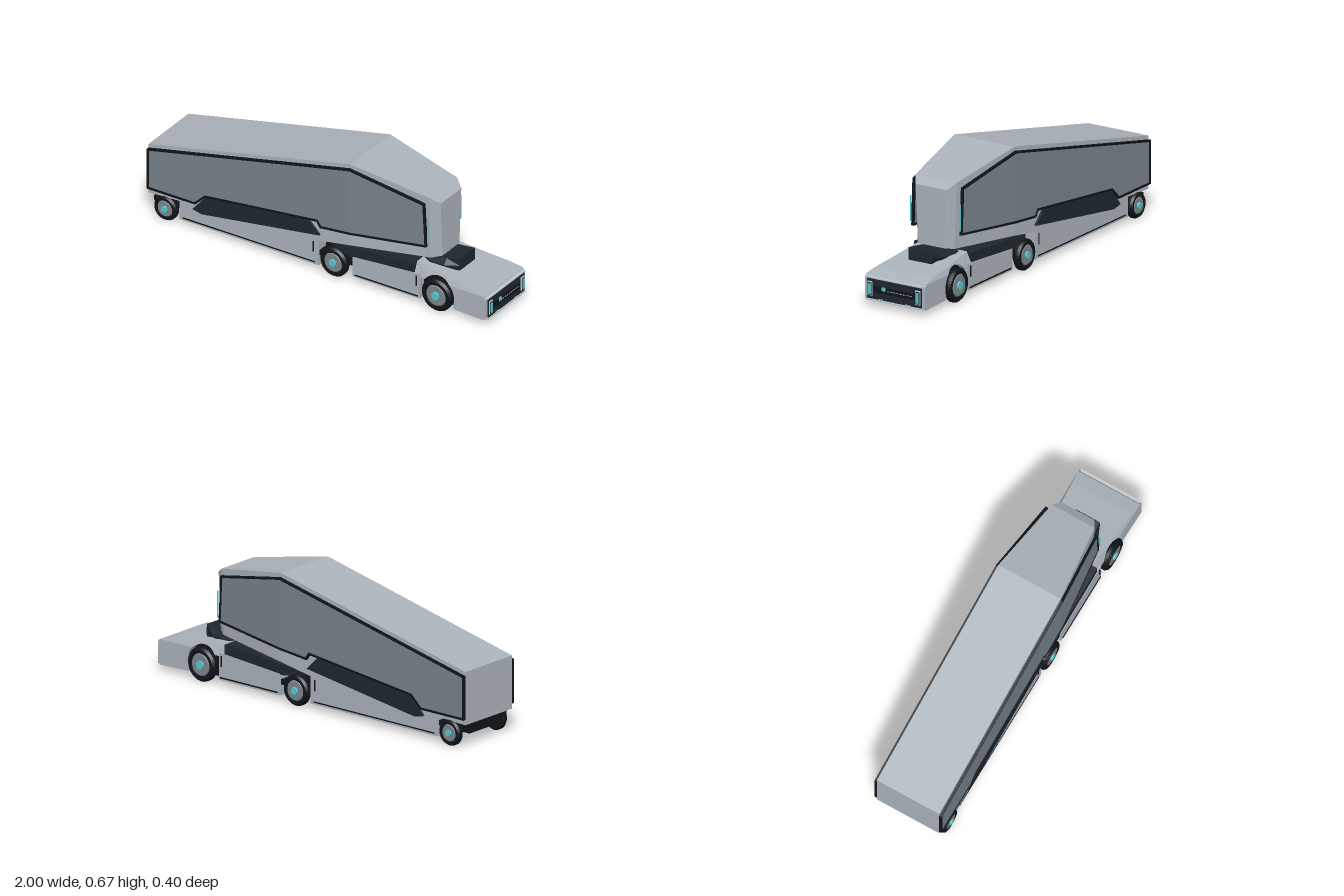
import * as THREE from 'three';

const mat = (color) => new THREE.MeshStandardMaterial({ color, flatShading: true, side: THREE.DoubleSide });
const GREY = mat(0xaab2ba), PANEL = mat(0x78828b), DARK = mat(0x1e2630), BLACK = mat(0x101418);
const TEAL = mat(0x55c8cc), LIGHT = mat(0xc4c8cc), RIM = mat(0x7c858d);

export function createModel() {
  const root = new THREE.Group();
  const add = (name, geo, material, parent = root) => {
    const m = new THREE.Mesh(geo, material);
    m.name = name;
    parent.add(m);
    return m;
  };
  // Box given by its ranges
  const box = (name, x0, x1, y0, y1, z0, z1, material) => {
    const m = add(name, new THREE.BoxGeometry(x1 - x0, y1 - y0, Math.abs(z1 - z0)), material);
    m.position.set((x0 + x1) / 2, (y0 + y1) / 2, (z0 + z1) / 2);
    return m;
  };
  const shapeOf = (pts) => new THREE.Shape(pts.map((p) => new THREE.Vector2(p[0], p[1])));
  // Side profile extruded about z = 0; zRule moves each vertex
  const slab = (name, shape, depth, material, zRule) => {
    const g = new THREE.ExtrudeGeometry(shape, { depth, bevelEnabled: false, curveSegments: 16 });
    g.translate(0, 0, -depth / 2);
    const p = g.attributes.position;
    for (let i = 0; i < p.count; i++) p.setZ(i, zRule(p.getX(i), p.getY(i), p.getZ(i)));
    g.computeVertexNormals();
    return add(name, g, material);
  };
  // Skin across convex rings, listed from -x to +x, each anticlockwise seen from +x
  const loft = (name, rings, material) => {
    const v = [], n = rings[0].length;
    const tri = (a, b, c) => v.push(...a, ...b, ...c);
    for (let r = 0; r + 1 < rings.length; r++) {
      for (let i = 0; i < n; i++) {
        const j = (i + 1) % n, A = rings[r], B = rings[r + 1];
        tri(A[i], A[j], B[j]);
        tri(A[i], B[j], B[i]);
      }
    }
    const first = rings[0], last = rings[rings.length - 1];
    for (let i = 1; i + 1 < n; i++) {
      tri(first[0], first[i + 1], first[i]);
      tri(last[0], last[i], last[i + 1]);
    }
    const g = new THREE.BufferGeometry();
    g.setAttribute('position', new THREE.Float32BufferAttribute(v, 3));
    g.computeVertexNormals();
    return add(name, g, material);
  };

  // Trailer body: x, bottom y, top y, bottom half width, top half width
  const body = [
    [-1, 0.125, 0.4, 0.177, 0.177], [0, 0.172, 0.623, 0.177, 0.177],
    [0.19, 0.205, 0.665, 0.177, 0.177], [0.62, 0.24, 0.585, 0.108, 0.122],
    [0.665, 0.25, 0.553, 0.075, 0.092],
  ];
  loft('trailerBody', body.map(([x, b, t, wb, wt]) =>
    [[x, b, wb], [x, b, -wb], [x, t, -wt], [x, t, wt]]), GREY);

  // Side panels with dark frames, bending inward ahead of the roof peak
  const bend = (x) => 0.184 - Math.max(0, x - 0.19) * 0.1;
  const rear = [[-1, 0.375], [0.19, 0.638], [0.19, 0.277], [0.02, 0.26], [0, 0.29],
    [-0.66, 0.215], [-0.72, 0.157], [-1, 0.157]];
  const front = [[0.19, 0.638], [0.6, 0.553], [0.612, 0.32], [0.19, 0.277]];
  const outline = [[-0.997, 0.375], [0.19, 0.638], [0.6, 0.553], [0.612, 0.32], [0.19, 0.277],
    [0.02, 0.26], [0, 0.29], [-0.66, 0.215], [-0.72, 0.157], [-0.997, 0.157]];
  const skirt = [[-0.735, 0.12], [-0.66, 0.208], [-0.05, 0.275], [0.015, 0.21], [-0.68, 0.108]];
  for (const s of [1, -1]) {
    for (const pts of [rear, front])
      slab('sidePanel', shapeOf(pts), 0.006, PANEL, (x, y, z) => z + s * bend(x));
    outline.forEach((a, i) => {
      const b = outline[(i + 1) % outline.length];
      const p = new THREE.Vector3(a[0], a[1], s * bend(a[0]));
      const q = new THREE.Vector3(b[0], b[1], s * bend(b[0]));
      const d = q.clone().sub(p), len = d.length();
      d.normalize();
      const up = new THREE.Vector3(0, 0, 1).cross(d).normalize();
      const m = add('panelFrame', new THREE.BoxGeometry(len + 0.006, 0.011, 0.013), BLACK);
      m.quaternion.setFromRotationMatrix(new THREE.Matrix4().makeBasis(d, up, d.clone().cross(up)));
      m.position.copy(p).add(q).multiplyScalar(0.5);
    });
    slab('sideFairing', shapeOf(skirt), 0.03, DARK, (x, y, z) => z + s * 0.174);
    box('frontMarker', 0.622, 0.627, 0.34, 0.475, s * 0.143, s * 0.149, TEAL);
  }

  // Chassis and underfloor boxes
  box('chassisBeam', -0.97, 0.75, 0.06, 0.13, -0.11, 0.11, BLACK);
  for (const [x0, x1] of [[-0.975, -0.8], [-0.01, 0.22]])
    box('chassisBracket', x0, x1, 0.085, 0.112, -0.165, 0.165, BLACK);
  slab('couplingDeck', shapeOf([[0.08, 0.15], [0.08, 0.182], [0.3, 0.198], [0.56, 0.217], [0.56, 0.165], [0.2, 0.135]]),
    0.34, DARK, (x, y, z) => z);
  slab('rearUnderBox', shapeOf([[-0.82, 0.03], [0, 0.03], [0, 0.172], [-0.82, 0.133]]), 0.35, GREY, (x, y, z) => z);
  slab('frontUnderBox', shapeOf([[0.2, 0.03], [0.595, 0.03], [0.595, 0.17], [0.2, 0.14]]), 0.346, GREY, (x, y, z) => z);
  for (const s of [1, -1]) {
    for (const [x0, x1, top] of [[-0.8, -0.02, 0.158], [0.215, 0.585, 0.155]]) {
      box('boxTrim', x0, x1, 0.04, 0.046, s * 0.17, s * 0.1775, BLACK);
      box('boxTrim', x1 - 0.012, x1 - 0.006, 0.1, top, s * 0.17, s * 0.1785, BLACK);
    }
  }

  // Tractor with wheel arches, narrowing above the shoulder line
  const cab = new THREE.Shape();
  cab.moveTo(0.795, 0.035);
  cab.lineTo(0.97, 0.03);
  cab.lineTo(0.985, 0.04);
  cab.lineTo(0.985, 0.145);
  cab.lineTo(0.97, 0.162);
  cab.lineTo(0.9, 0.178);
  cab.lineTo(0.78, 0.19);
  cab.lineTo(0.56, 0.218);
  cab.lineTo(0.555, 0.172);
  cab.lineTo(0.6, 0.15);
  cab.absarc(0.7, 0.09, 0.098, 2.5, -0.3, true);
  slab('tractorBody', cab, 2, GREY, (x, y, z) =>
    z * (0.177 - Math.max(0, y - 0.16) * 0.47 - Math.max(0, 0.97 - x) * 0.02));
  box('tractorFloor', 0.6, 0.8, 0.035, 0.17, -0.14, 0.14, BLACK);

  // Dark pod on the tractor
  const pod = (x, b, m, t, w, tip) =>
    [[x, b, w], [x, b, -w], [x, m, -tip], [x, t, -w], [x, t, w], [x, m, tip]];
  loft('cabPod', [pod(0.55, 0.195, 0.21, 0.217, 0.085, 0.11), pod(0.69, 0.185, 0.215, 0.244, 0.075, 0.1),
    pod(0.762, 0.185, 0.22, 0.257, 0.067, 0.069)], DARK);

  // Nose panel, lamps and light strips
  box('nosePanel', 0.975, 0.991, 0.042, 0.143, -0.16, 0.16, DARK);
  box('noseBar', 0.985, 0.995, 0.078, 0.11, -0.12, 0.12, BLACK);
  for (const y of [0.15, 0.035]) box('noseTrim', 0.97, 0.992, y - 0.003, y + 0.003, -0.168, 0.168, LIGHT);
  box('sensor', 0.99, 0.998, 0.093, 0.111, 0.05, 0.07, TEAL);
  for (let i = 0; i < 8; i++) box('lightDash', 0.99, 0.997, 0.094, 0.097, 0.028 - i * 0.019, 0.04 - i * 0.019, LIGHT);
  for (const s of [1, -1]) {
    box('lampFrame', 0.98, 0.996, 0.058, 0.131, s * 0.127, s * 0.154, LIGHT);
    box('lampRecess', 0.98, 0.998, 0.062, 0.125, s * 0.131, s * 0.151, BLACK);
    box('lamp', 0.98, 1, 0.066, 0.121, s * 0.133, s * 0.149, TEAL);
    box('lowerMarker', 0.98, 0.994, 0.044, 0.047, s * 0.066, s * 0.094, TEAL);
  }

  // Wheels: x, radius, outer z
  for (const [x, r, zo] of [[-0.9, 0.067, 0.187], [0.092, 0.08, 0.188], [0.7, 0.088, 0.191]]) {
    const axle = add('axle', new THREE.CylinderGeometry(0.02, 0.02, 0.32, 12).rotateX(Math.PI / 2), BLACK);
    axle.position.set(x, r, 0);
    for (const s of [1, -1]) {
      const wheel = new THREE.Group();
      wheel.name = 'wheel';
      const profile = [[0, -0.019], [r * 0.88, -0.019], [r, -0.009], [r, 0.007], [r * 0.88, 0.019],
        [r * 0.68, 0.019], [r * 0.66, 0.012], [0, 0.012]].map((p) => new THREE.Vector2(p[0], p[1]));
      add('tyre', new THREE.LatheGeometry(profile, 36), BLACK, wheel);
      add('rim', new THREE.CylinderGeometry(r * 0.6, r * 0.66, 0.006, 36), RIM, wheel).position.y = 0.015;
      add('hubCap', new THREE.CylinderGeometry(r * 0.24, r * 0.26, 0.012, 16), TEAL, wheel).position.y = 0.02;
      wheel.rotation.x = s * Math.PI / 2;
      wheel.position.set(x, r, s * (zo - 0.019));
      root.add(wheel);
    }
  }
  return root;
}
